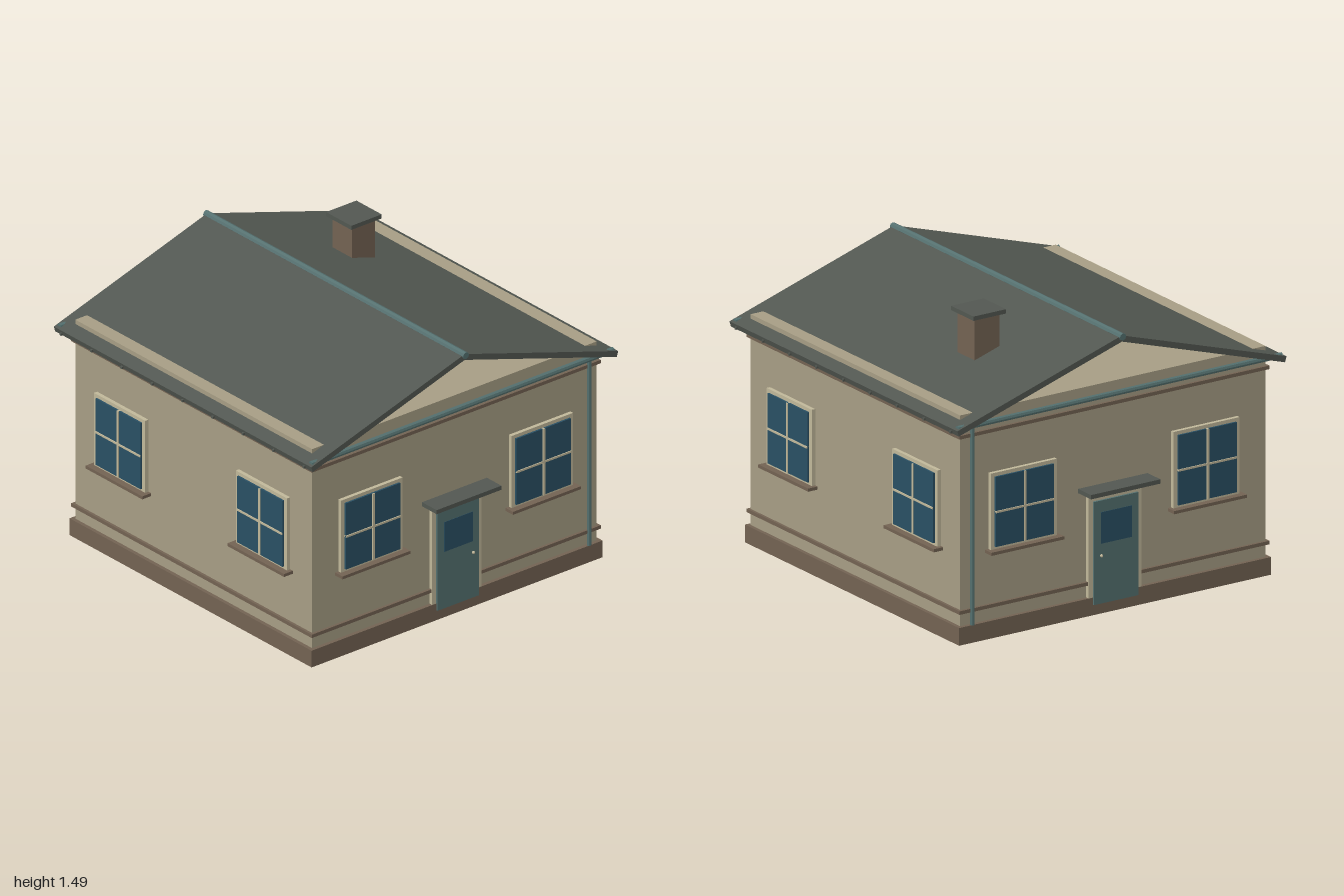
import * as THREE from 'three';

const mat = (color) => new THREE.MeshStandardMaterial({ color, flatShading: true });
const wall = mat(0xa69d84), brown = mat(0x726252), slate = mat(0x525751);
const teal = mat(0x54706f), glass = mat(0x294f63), cream = mat(0xc0b799);

function box(parent, name, w, h, d, x, y, z, material) {
  const mesh = new THREE.Mesh(new THREE.BoxGeometry(w, h, d), material);
  mesh.name = name;
  mesh.position.set(x, y, z);
  parent.add(mesh);
  return mesh;
}

function rod(parent, name, r, length, sides, x, y, z, material) {
  const mesh = new THREE.Mesh(new THREE.CylinderGeometry(r, r, length, sides), material);
  mesh.name = name;
  mesh.position.set(x, y, z);
  parent.add(mesh);
  return mesh;
}

// Window facing +z, with its back on the wall plane z = 0
function makeWindow() {
  const g = new THREE.Group();
  g.name = 'window';
  box(g, 'windowFrame', 0.385, 0.39, 0.03, 0, 0.645, 0.005, cream);
  box(g, 'windowGlass', 0.34, 0.357, 0.02, 0, 0.643, 0.02, glass);
  box(g, 'windowMullion', 0.012, 0.357, 0.02, 0, 0.643, 0.025, cream);
  box(g, 'windowCrossbar', 0.34, 0.01, 0.02, 0, 0.643, 0.025, cream);
  box(g, 'windowSill', 0.425, 0.016, 0.06, 0, 0.443, 0.025, brown);
  return g;
}

// Door facing +z, with its canopy
function makeDoor(side) {
  const g = new THREE.Group();
  g.name = 'doorway';
  box(g, 'doorFrame', 0.31, 0.55, 0.03, 0, 0.33, 0.004, cream);
  box(g, 'door', 0.26, 0.525, 0.03, 0, 0.317, 0.015, teal);
  box(g, 'doorGlass', 0.18, 0.16, 0.01, 0, 0.44, 0.027, glass);
  box(g, 'doorCanopy', 0.405, 0.022, 0.12, 0, 0.642, 0.05, slate);
  const knob = new THREE.Mesh(new THREE.SphereGeometry(0.008, 8, 6), cream);
  knob.name = 'doorKnob';
  knob.position.set(0.09 * side, 0.3, 0.036);
  g.add(knob);
  return g;
}

export function createModel() {
  const house = new THREE.Group();
  house.name = 'house';

  // Walls, plinth and trim bands
  box(house, 'plinth', 1.82, 0.09, 1.82, 0, 0.045, 0, brown);
  box(house, 'walls', 1.78, 1.08, 1.78, 0, 0.624, 0, wall);
  for (const y of [0.163, 1.056])
    box(house, 'trimBand', 1.808, 0.018, 1.808, 0, y, 0, brown);

  // Windows: two on each of the four sides
  for (let i = 0; i < 4; i++) {
    const face = new THREE.Group();
    face.name = 'facade';
    face.rotation.y = i * Math.PI / 2;
    for (const s of [-1, 1]) {
      const w = makeWindow();
      w.position.set(s * 0.533, 0, 0.89);
      face.add(w);
    }
    // Doors at front and back
    if (i % 2 === 0) {
      const d = makeDoor(i === 0 ? 1 : -1);
      d.position.z = 0.89;
      face.add(d);
    }
    house.add(face);
  }

  // Gutters and downpipes at front and back
  for (const s of [-1, 1]) {
    const gutter = rod(house, 'gutter', 0.015, 1.89, 8, 0, 1.122, s * 0.945, teal);
    gutter.rotation.z = Math.PI / 2;
    rod(house, 'downpipe', 0.011, 1.03, 8, 0.83, 0.605, s * 0.905, teal);
  }

  // Two roof slabs with open gables
  const slope = Math.atan(0.31), t = 0.03;
  const length = 0.96 / Math.cos(slope);
  for (const s of [-1, 1]) {
    const pivot = new THREE.Group();
    pivot.name = 'roofSide';
    pivot.position.y = 1.417;
    pivot.rotation.z = -s * slope;
    box(pivot, 'roofSlab', length, t, 1.935, s * length / 2, -t / 2, 0, slate);
    house.add(pivot);
    // Small brackets along the eaves
    for (let i = -4; i <= 4; i++)
      box(house, 'eaveBracket', 0.02, 0.012, 0.012, s * 0.955, 1.1, i * 0.228, slate);
  }
  const ridge = rod(house, 'ridgeCap', 0.018, 1.955, 8, 0, 1.412, 0, teal);
  ridge.rotation.x = Math.PI / 2;

  // Chimney
  box(house, 'chimney', 0.145, 0.28, 0.145, 0.453, 1.33, -0.41, brown);
  box(house, 'chimneyCap', 0.19, 0.022, 0.19, 0.453, 1.477, -0.41, slate);

  return house;
}
